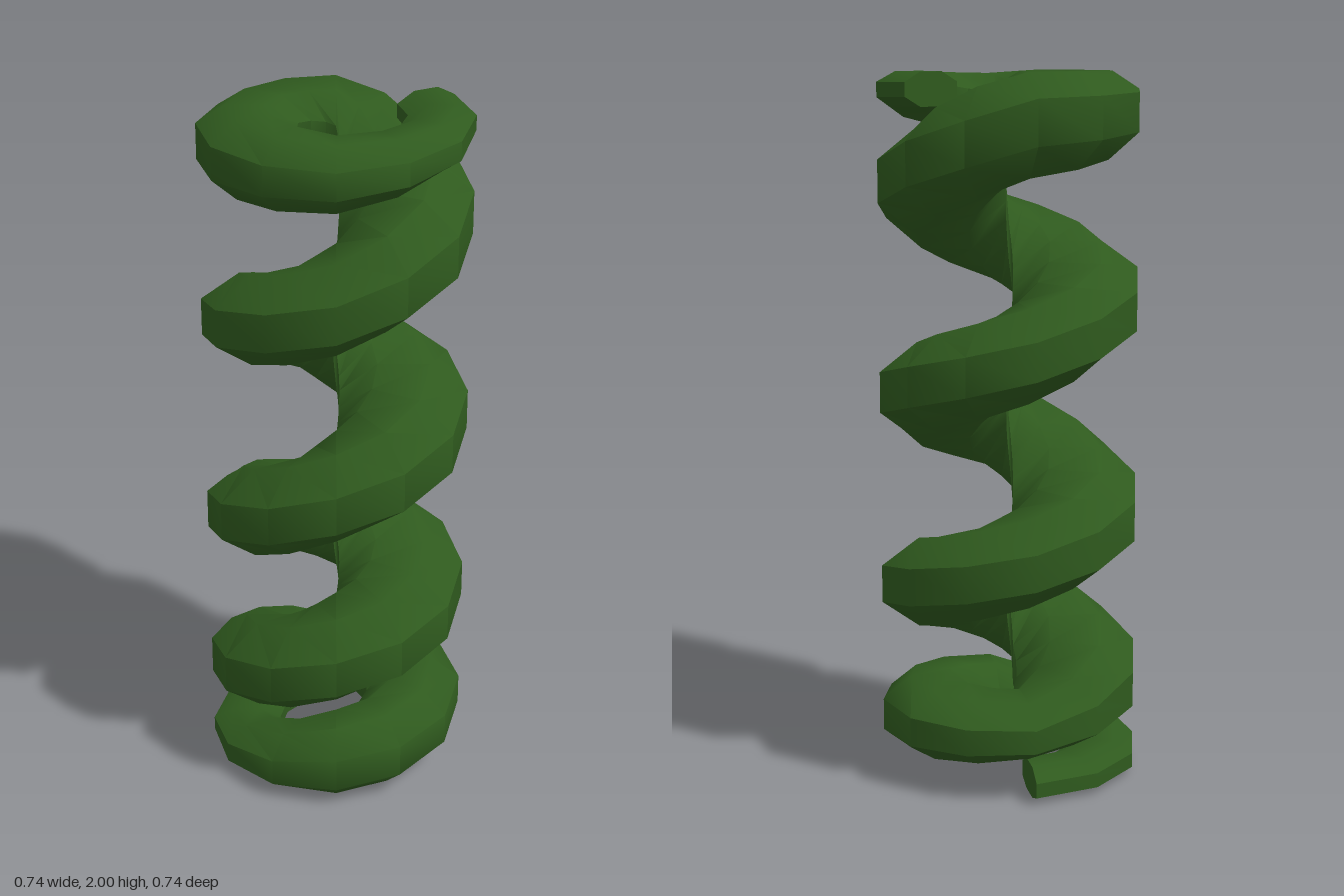
import * as THREE from 'three';
import { toCreasedNormals } from 'three/addons/utils/BufferGeometryUtils.js';

const SIDES = 8;          // facets around the wire
const STEPS = 3;          // cross-sections per quarter turn
const OUTER = 0.372;      // outer coil radius
const START = 1, END = 20.34; // quarter turns from +x, winding towards -z

// Height of the wire centre, its vertical half thickness and the inner coil radius, per quarter turn
const HEIGHTS = [0.04, 0.04, 0.11, 0.165, 0.18, 0.29, 0.44, 0.555, 0.66, 0.79, 0.965,
  1.11, 1.24, 1.395, 1.525, 1.70, 1.87, 1.90, 1.90, 1.95, 1.96];
const THICKNESS = [0.05, 0.05, 0.12, 0.11, 0.08, 0.14, 0.135, 0.13, 0.125, 0.14, 0.135,
  0.14, 0.13, 0.13, 0.13, 0.145, 0.15, 0.12, 0.09, 0.05, 0.04];
const INNER = [0.18, 0.17, 0.14, 0.09, 0.04, 0.01, 0.01, 0.01, 0.01, 0.01, 0.01,
  0.01, 0.01, 0.01, 0.01, 0.01, 0.03, 0.10, 0.17, 0.19, 0.19];

function sample(table, quarter) {
  const i = Math.floor(quarter - START);
  return THREE.MathUtils.lerp(table[i], table[i + 1], quarter - START - i);
}

// Helical wire with an upright octagonal section, ground flat at both ends
function coilGeometry() {
  const positions = [];
  const index = [];
  const rings = Math.round((END - START) * STEPS);
  const stretch = 1 / Math.cos(Math.PI / SIDES);

  // u runs outwards and v upwards across the wire, both from -1 to 1
  const addPoint = (q, u, v) => {
    const a = q * Math.PI / 2;
    const inner = sample(INNER, q);
    const radius = (OUTER + inner) / 2 + u * (OUTER - inner) / 2;
    const y = sample(HEIGHTS, q) + v * sample(THICKNESS, q);
    positions.push(Math.cos(a) * radius, THREE.MathUtils.clamp(y, 0, 2), -Math.sin(a) * radius);
  };

  for (let i = 0; i <= rings; i++) {
    for (let j = 0; j < SIDES; j++) {
      const b = (j + 0.5) / SIDES * Math.PI * 2;
      addPoint(START + i / STEPS, Math.cos(b) * stretch, Math.sin(b) * stretch);
    }
  }
  for (let i = 0; i < rings; i++) {
    for (let j = 0; j < SIDES; j++) {
      const k = (j + 1) % SIDES;
      const a = i * SIDES, b = a + SIDES;
      index.push(a + j, b + j, a + k, b + j, b + k, a + k);
    }
  }

  // End caps
  const first = positions.length / 3;
  addPoint(START, 0, 0);
  addPoint(START + rings / STEPS, 0, 0);
  for (let j = 0; j < SIDES; j++) {
    const k = (j + 1) % SIDES;
    const base = rings * SIDES;
    index.push(first, j, k, first + 1, base + k, base + j);
  }

  const geometry = new THREE.BufferGeometry();
  geometry.setAttribute('position', new THREE.Float32BufferAttribute(positions, 3));
  geometry.setIndex(index);
  return toCreasedNormals(geometry, 0.9);
}

export function createModel() {
  const group = new THREE.Group();
  group.name = 'coilSpring';
  const green = new THREE.MeshStandardMaterial({ color: 0x2f5a1e });
  green.name = 'darkGreen';
  const coil = new THREE.Mesh(coilGeometry(), green);
  coil.name = 'coil';
  group.add(coil);
  return group;
}
